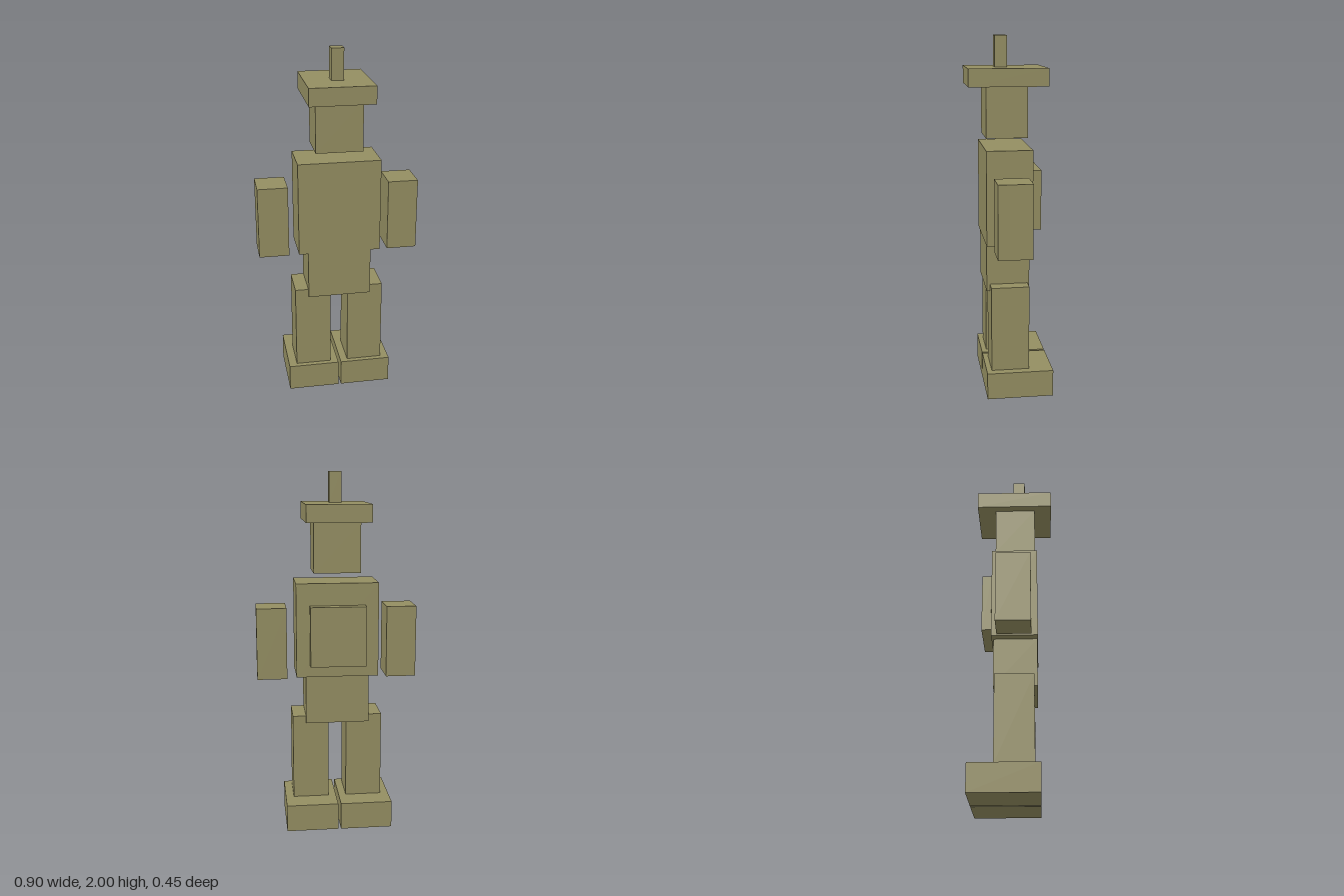
import * as THREE from 'three';

export function createModel() {
  const model = new THREE.Group();
  model.name = 'blockFigure';
  const olive = new THREE.MeshStandardMaterial({ color: 0x948e62 });
  olive.name = 'olive';

  // Block given by its extents along each axis
  function block(name, [x0, x1], [y0, y1], [z0, z1]) {
    const mesh = new THREE.Mesh(new THREE.BoxGeometry(x1 - x0, y1 - y0, z1 - z0), olive);
    mesh.name = name;
    mesh.position.set((x0 + x1) / 2, (y0 + y1) / 2, (z0 + z1) / 2);
    model.add(mesh);
  }

  // Mirrored pair of blocks, left (+x) and right (-x)
  function pair(name, [x0, x1], y, z) {
    block('left' + name, [x0, x1], y, z);
    block('right' + name, [-x1, -x0], y, z);
  }

  // Head, hat and its spike
  block('spike', [-0.034, 0.034], [1.83, 2], [0, 0.068]);
  block('hat', [-0.178, 0.178], [1.733, 1.83], [-0.208, 0.225]);
  block('head', [-0.13, 0.13], [1.453, 1.733], [-0.102, 0.127]);

  // Body with backpack standing just off the back
  block('torso', [-0.23, 0.23], [0.873, 1.4], [-0.117, 0.137]);
  block('backpack', [-0.155, 0.155], [0.942, 1.277], [-0.175, -0.122]);
  block('hips', [-0.178, 0.178], [0.6, 0.873], [-0.107, 0.133]);

  // Limbs
  pair('Arm', [0.281, 0.449], [0.857, 1.26], [-0.085, 0.102]);
  pair('Leg', [0.05, 0.253], [0.153, 0.64], [-0.097, 0.115]);
  pair('Foot', [0.008, 0.299], [0, 0.153], [-0.229, 0.144]);

  return model;
}
